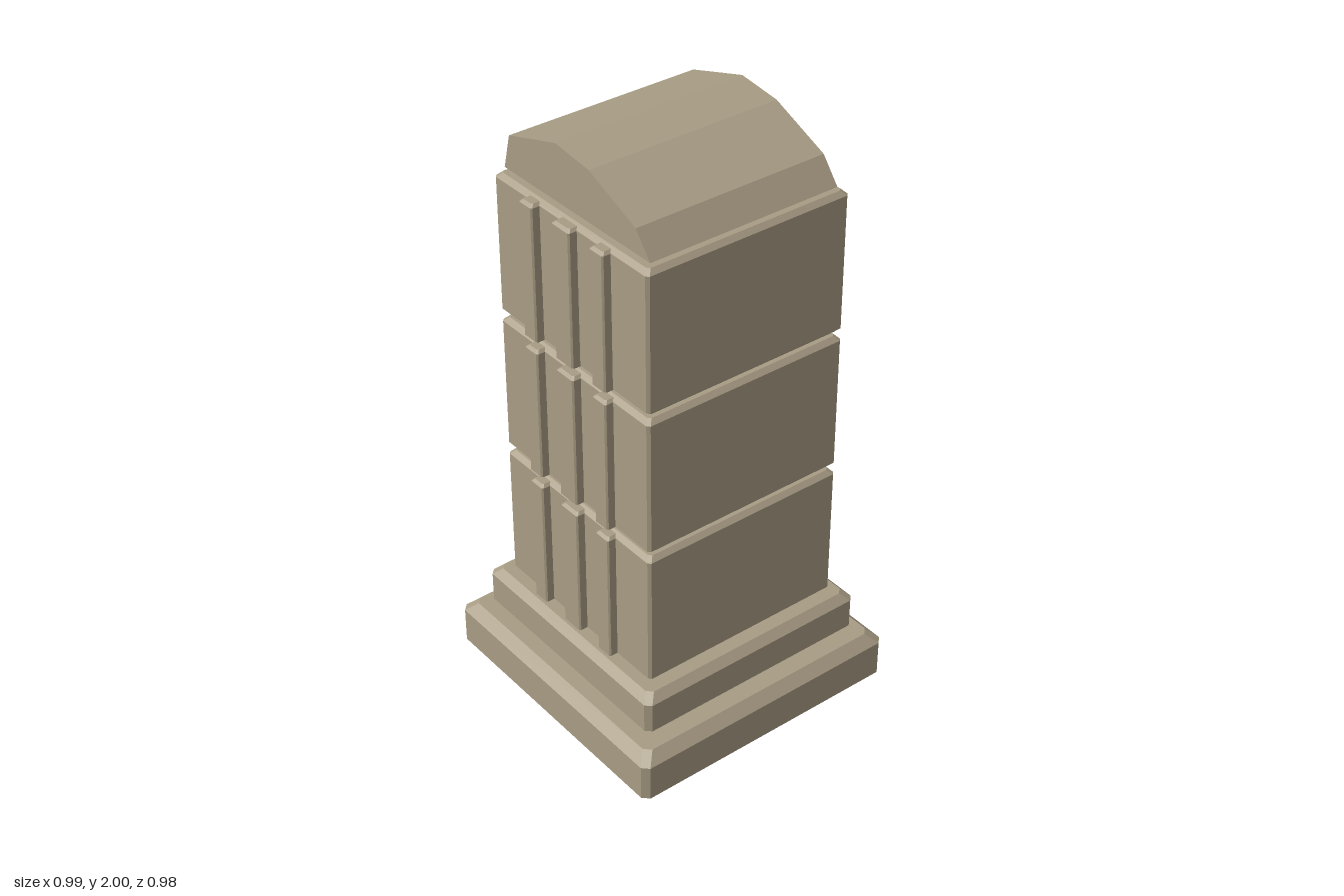
import * as THREE from 'three';

const stone = new THREE.MeshStandardMaterial({ color: 0xa89c84 });
stone.name = 'weathered stone';

// Box with bevelled rims (inset by bevel) and cut vertical corners, from four octagonal loops
function bevelledBox(x0, x1, y0, y1, z0, z1, bevel, cut) {
  const loop = (y, inset) => {
    const l = x0 + inset, r = x1 - inset, b = z0 + inset, f = z1 - inset;
    return [
      [l + cut, y, f], [r - cut, y, f], [r, y, f - cut], [r, y, b + cut],
      [r - cut, y, b], [l + cut, y, b], [l, y, b + cut], [l, y, f - cut],
    ];
  };
  const loops = [loop(y0, bevel), loop(y0 + bevel, 0), loop(y1 - bevel, 0), loop(y1, bevel)];
  const pos = [];
  const tri = (a, b, c) => pos.push(...a, ...b, ...c);
  for (let k = 0; k < 3; k++) {
    for (let i = 0; i < 8; i++) {
      const j = (i + 1) % 8, lo = loops[k], hi = loops[k + 1];
      tri(lo[i], lo[j], hi[j]);
      tri(lo[i], hi[j], hi[i]);
    }
  }
  for (let i = 1; i < 7; i++) {
    tri(loops[3][0], loops[3][i], loops[3][i + 1]);
    tri(loops[0][0], loops[0][i + 1], loops[0][i]);
  }
  const geo = new THREE.BufferGeometry();
  geo.setAttribute('position', new THREE.Float32BufferAttribute(pos, 3));
  geo.computeVertexNormals();
  return geo;
}

export function createModel() {
  const model = new THREE.Group();
  model.name = 'stonePillar';
  const add = (name, geo, parent = model) => {
    const mesh = new THREE.Mesh(geo, stone);
    mesh.name = name;
    parent.add(mesh);
  };

  // Stepped plinth
  add('lowerPlinth', bevelledBox(-0.495, 0.493, 0, 0.192, -0.49, 0.487, 0.034, 0.021));
  add('upperPlinth', bevelledBox(-0.421, 0.418, 0.192, 0.347, -0.421, 0.417, 0.026, 0.018));

  // Three shaft blocks, separated by thin joints, with ribs showing at front and back
  const ribs = [[-0.198, -0.137], [-0.042, 0.04], [0.133, 0.195]];
  for (let i = 0; i < 3; i++) {
    const y = 0.347 + i * 0.491;
    const block = new THREE.Group();
    block.name = 'shaftSection' + (i + 1);
    model.add(block);
    add('shaftBlock', bevelledBox(-0.36, 0.357, y, y + 0.477, -0.366, 0.361, 0.015, 0.009), block);
    for (const [x0, x1] of ribs) {
      add('rib', bevelledBox(x0, x1, y + 0.005, y + 0.47, -0.394, 0.39, 0.009, 0.005), block);
    }
  }

  // Worn, faceted rounded cap
  const profile = [
    [-0.345, 1.816], [0.335, 1.816], [0.272, 1.895], [0.064, 1.982], [-0.09, 2], [-0.316, 1.93],
  ].map(([x, y]) => new THREE.Vector2(x, y));
  const cap = new THREE.ExtrudeGeometry(new THREE.Shape(profile), { depth: 0.671, bevelEnabled: false });
  cap.translate(0, 0, -0.338);
  add('cap', cap);

  return model;
}
